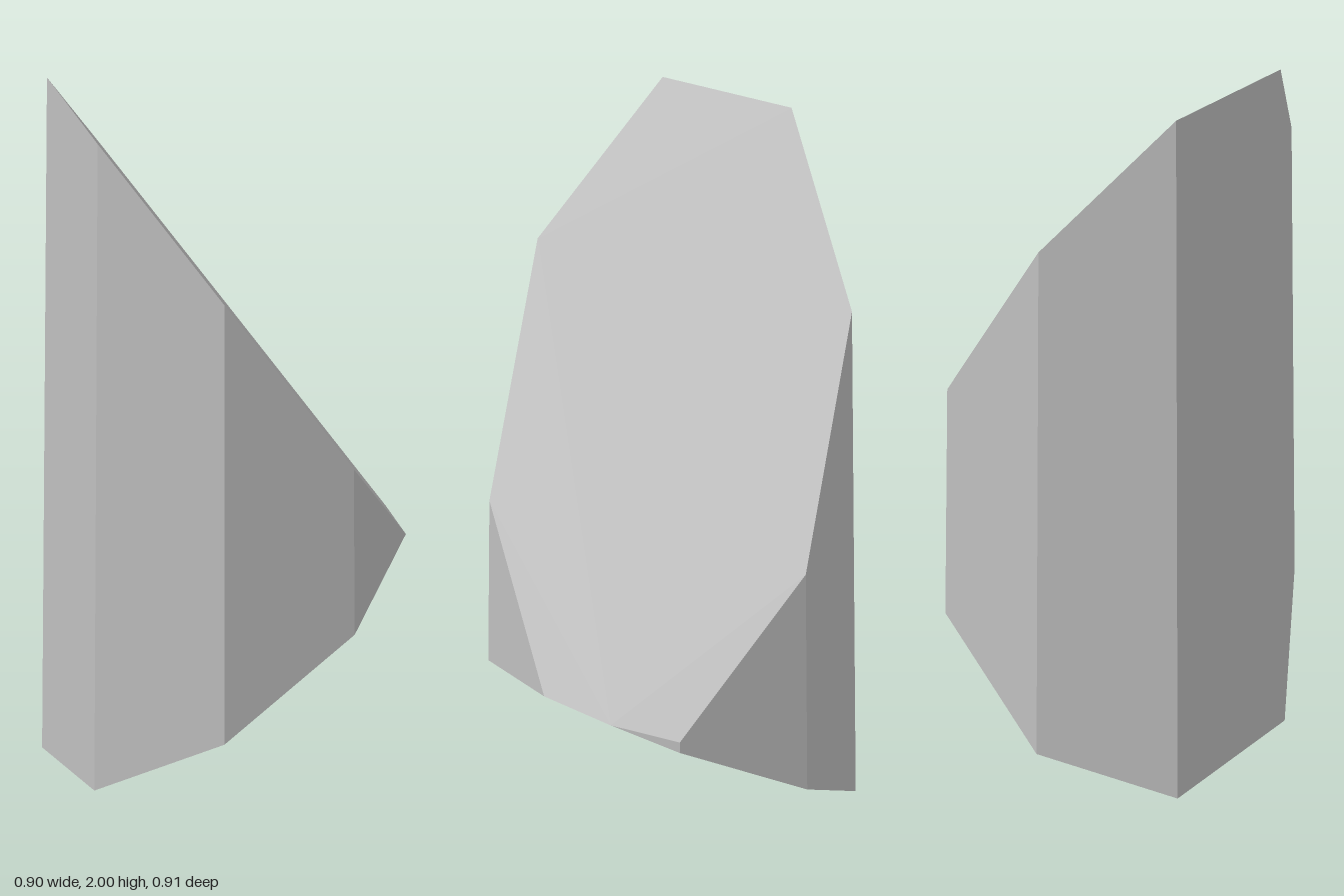
import * as THREE from 'three';
import { ConvexGeometry } from 'three/addons/geometries/ConvexGeometry.js';

// Eight-sided column sliced by two slanted planes that meet at a ridge.
export function createModel() {
  const group = new THREE.Group();
  group.name = 'cutPrism';

  const grey = new THREE.MeshStandardMaterial({ color: 0xbfbfbf });
  grey.name = 'stoneGrey';

  // Lower rim, following the underside cut
  const lowerRim = [
    [-0.453, 0, 0], [-0.32, 0.085, 0.323], [0.004, 0.31, 0.455], [0.326, 0.55, 0.32],
    [0.326, 0.58, -0.322], [0.004, 0.36, -0.457], [-0.32, 0.115, -0.325],
  ];
  // Upper rim, following the steep cut
  const upperRim = [
    [-0.441, 1.99, 0], [-0.312, 2, 0.315], [0.004, 1.61, 0.447], [0.324, 1.04, 0.318],
    [0.326, 0.612, -0.322], [0.004, 1.018, -0.452], [-0.314, 1.588, -0.318],
  ];
  // Ridge where both cuts meet
  const ridge = [[0.45, 0.653, 0.02], [0.398, 0.622, -0.155]];

  const points = [...lowerRim, ...upperRim, ...ridge].map((p) => new THREE.Vector3(...p));
  const body = new THREE.Mesh(new ConvexGeometry(points), grey);
  body.name = 'body';
  group.add(body);
  return group;
}
